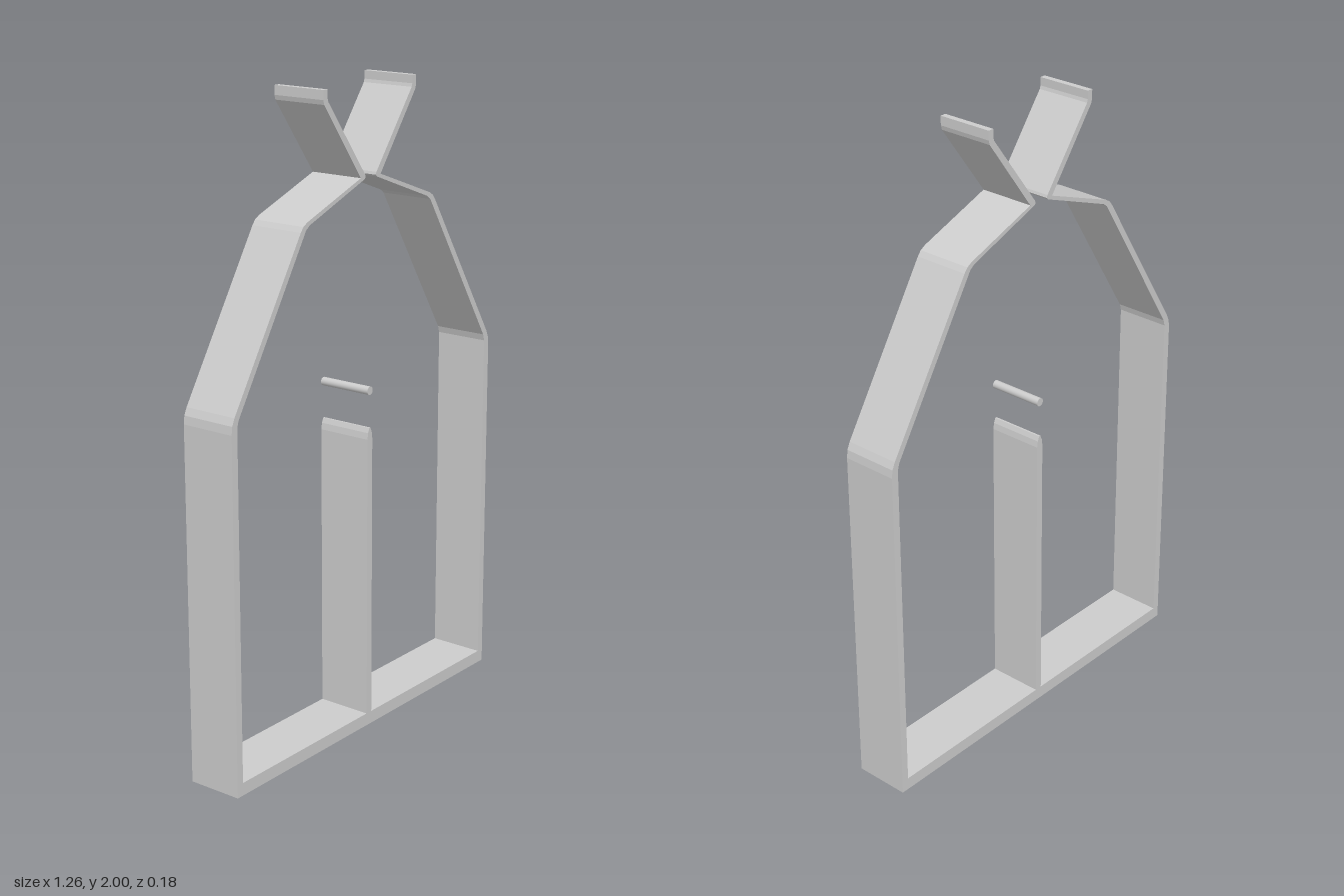
import * as THREE from 'three';

const DEPTH = 0.176;
const material = new THREE.MeshStandardMaterial({ color: 0xcccccc, flatShading: true });

// Extrude a front outline through the depth, centred on z = 0
function slab(name, points) {
  const shape = new THREE.Shape(points.map(([x, y]) => new THREE.Vector2(x, y)));
  const geometry = new THREE.ExtrudeGeometry(shape, { depth: DEPTH, bevelEnabled: false });
  geometry.translate(0, 0, -DEPTH / 2);
  const mesh = new THREE.Mesh(geometry, material);
  mesh.name = name;
  return mesh;
}

// Bent strip: wall, roof slope, shoulder, flared arm and upright lip
const outer = [
  [0.628, 0.04], [0.628, 1.1], [0.625, 1.125], [0.615, 1.147],
  [0.322, 1.615], [0.31, 1.63], [0.293, 1.64], [0.047, 1.73],
  [0.215, 1.958], [0.219, 1.972], [0.219, 2],
];
const inner = [
  [0.2, 2], [0.2, 1.975], [0.197, 1.965], [0.027, 1.738], [0.024, 1.73], [0.03, 1.724],
  [0.282, 1.63], [0.298, 1.618], [0.598, 1.136], [0.604, 1.115], [0.604, 0.04],
];

export function createModel() {
  const group = new THREE.Group();
  group.name = 'clipFrame';

  for (const [side, s] of [['left', 1], ['right', -1]]) {
    group.add(slab(side + 'BentStrip', [...outer, ...inner].map(([x, y]) => [s * x, y])));
  }

  // Base bar
  group.add(slab('base', [[-0.628, 0], [0.628, 0], [0.628, 0.04], [-0.628, 0.04]]));

  // Central divider with a tapered top edge
  group.add(slab('divider', [
    [-0.012, 0.04], [0.012, 0.04], [0.012, 0.935], [0.009, 0.955], [0.003, 0.97],
    [-0.003, 0.97], [-0.009, 0.955], [-0.012, 0.935],
  ]));

  // Thin cross pin above the divider
  const pinMaterial = new THREE.MeshStandardMaterial({ color: 0xcccccc });
  const pin = new THREE.Mesh(new THREE.CylinderGeometry(0.013, 0.013, DEPTH, 24), pinMaterial);
  pin.name = 'pin';
  pin.rotation.x = Math.PI / 2;
  pin.position.y = 1.085;
  group.add(pin);

  return group;
}
